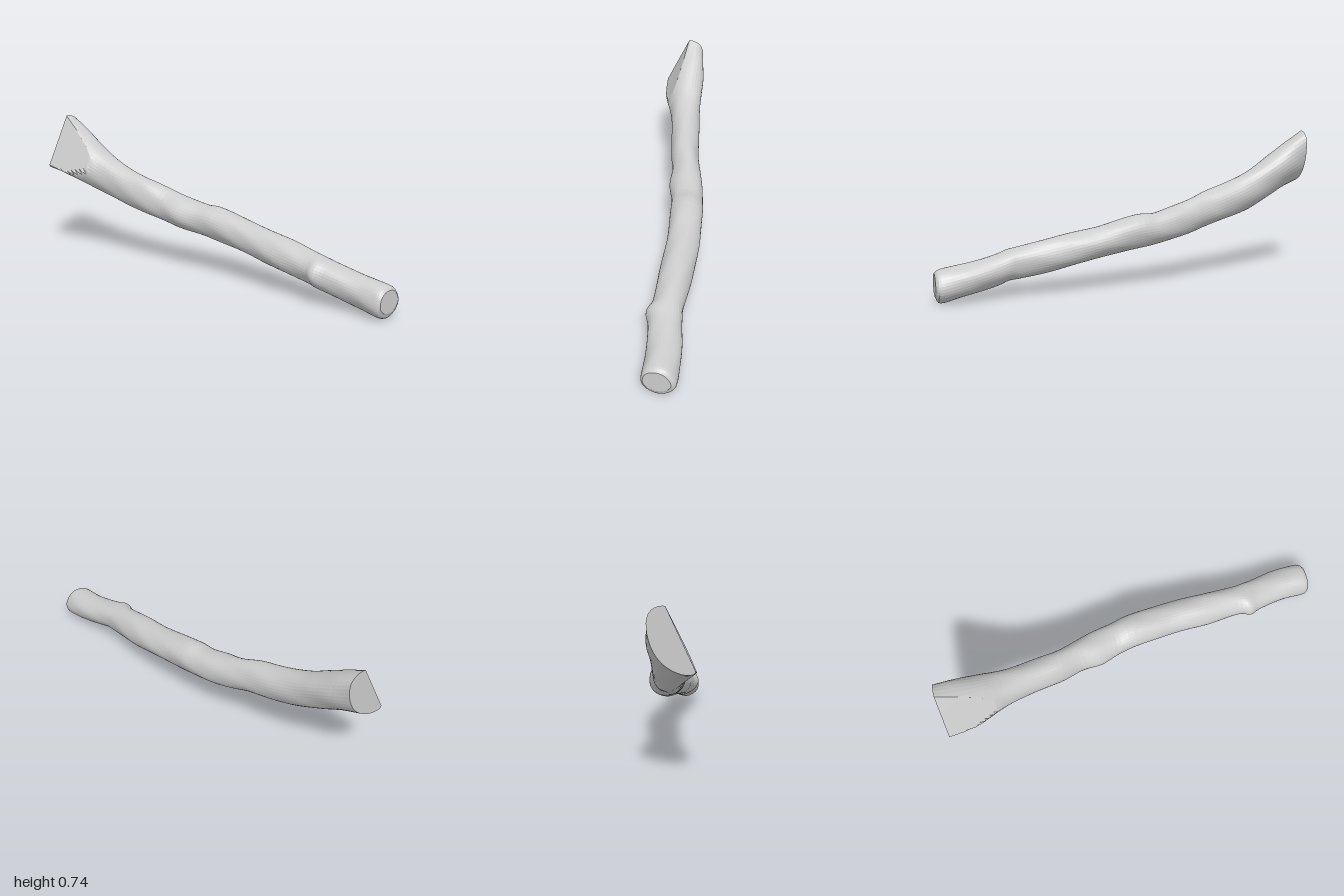
import * as THREE from 'three';

// Cross-sections along the branch: z, left x, right x, bottom y, top y, sideways lean
const SECTIONS = [
  [1.0, 0.13, 0.26, 0.03, 0.14, 0],
  [0.975, 0.115, 0.28, 0.0, 0.158, 0],
  [0.88, 0.108, 0.273, 0.02, 0.173, 0],
  [0.8, 0.095, 0.26, 0.037, 0.187, 0],
  [0.7, 0.072, 0.236, 0.06, 0.21, 0],
  [0.645, 0.05, 0.225, 0.077, 0.226, 0],
  [0.58, 0.066, 0.214, 0.085, 0.24, 0],
  [0.4, 0.046, 0.21, 0.113, 0.275, 0],
  [0.2, 0.03, 0.195, 0.155, 0.308, 0],
  [0.0, 0.0, 0.166, 0.186, 0.355, 0],
  [-0.1, -0.02, 0.145, 0.2, 0.357, 0],
  [-0.2, -0.055, 0.122, 0.215, 0.378, 0],
  [-0.3, -0.066, 0.086, 0.235, 0.405, 0],
  [-0.4, -0.1, 0.05, 0.26, 0.44, 0],
  [-0.5, -0.125, 0.028, 0.285, 0.468, 0],
  [-0.6, -0.15, 0.005, 0.312, 0.503, 0],
  [-0.7, -0.182, -0.015, 0.345, 0.547, 0.05],
  [-0.8, -0.235, -0.03, 0.388, 0.608, 0.15],
  [-0.9, -0.29, -0.045, 0.43, 0.672, 0.28],
  [-1.0, -0.3, -0.078, 0.455, 0.735, 0.35],
];
const SIDES = 36, STEPS = 4;

// Slanted saw cut across the thick end
const cutX = (y, z) => -0.28 + 0.48 * (y - 0.465) + 0.26 * (z + 1);

function branchGeometry() {
  const middle = new THREE.CatmullRomCurve3(
    SECTIONS.map(([z, x0, x1, y0, y1]) => new THREE.Vector3((x0 + x1) / 2, (y0 + y1) / 2, z)), false, 'catmullrom');
  const size = new THREE.CatmullRomCurve3(
    SECTIONS.map(([, x0, x1, y0, y1, lean]) => new THREE.Vector3((x1 - x0) / 2, (y1 - y0) / 2, lean)), false, 'catmullrom');
  const rings = (SECTIONS.length - 1) * STEPS;
  const positions = [], indices = [];

  for (let i = 0; i <= rings; i++) {
    const c = middle.getPoint(i / rings), s = size.getPoint(i / rings);
    const z = THREE.MathUtils.clamp(c.z, -1, 1);
    for (let j = 0; j < SIDES; j++) {
      const a = (j / SIDES) * Math.PI * 2;
      // gentle bark unevenness
      const bark = 1 + 0.018 * Math.sin(3 * a + 9 * z) + 0.012 * Math.sin(5 * a - 23 * z);
      const dy = s.y * Math.sin(a) * bark;
      const y = Math.max(0, c.y + dy);
      const x = c.x + s.x * Math.cos(a) * bark + s.z * dy;
      positions.push(Math.max(x, cutX(y, z)), y, z);
    }
  }

  // bark surface
  for (let i = 0; i < rings; i++) {
    for (let j = 0; j < SIDES; j++) {
      const k = (j + 1) % SIDES;
      const a = i * SIDES + j, b = i * SIDES + k, c = a + SIDES, d = b + SIDES;
      indices.push(a, c, b, b, c, d);
    }
  }

  // flat end faces
  const front = positions.length / 3;
  positions.push(0.195, 0.085, 1, -0.145, 0.59, -1);
  const last = rings * SIDES;
  for (let j = 0; j < SIDES; j++) {
    const k = (j + 1) % SIDES;
    indices.push(front, j, k, front + 1, last + k, last + j);
  }

  const geometry = new THREE.BufferGeometry();
  geometry.setAttribute('position', new THREE.Float32BufferAttribute(positions, 3));
  geometry.setIndex(indices);
  geometry.computeVertexNormals();
  return geometry;
}

export function createModel() {
  const group = new THREE.Group();
  group.name = 'branch';
  const wood = new THREE.MeshStandardMaterial({ color: 0xcccccc, flatShading: true });
  wood.name = 'pale grey wood';
  const log = new THREE.Mesh(branchGeometry(), wood);
  log.name = 'sawnBranch';
  group.add(log);
  return group;
}
